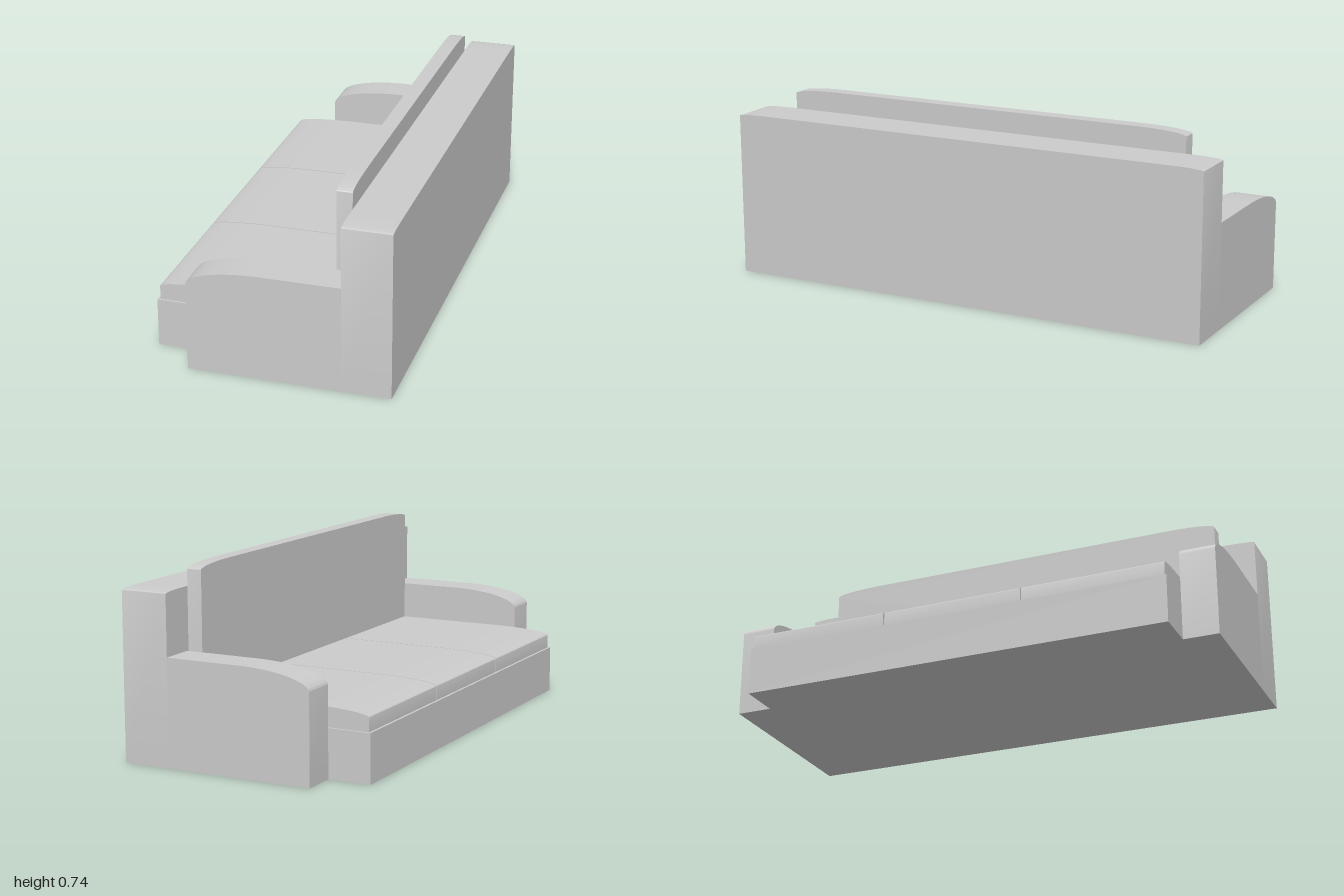
import * as THREE from 'three';
import { toCreasedNormals } from 'three/addons/utils/BufferGeometryUtils.js';

const material = new THREE.MeshStandardMaterial({ color: 0xcccccc });

function extrude(shape, depth) {
  const geometry = new THREE.ExtrudeGeometry(shape, { depth, bevelEnabled: false, curveSegments: 20 });
  return toCreasedNormals(geometry, 0.5);
}

// Profile in x/y, swept along z from z0 to z1
function sweepZ(name, shape, z0, z1) {
  const mesh = new THREE.Mesh(extrude(shape, z1 - z0).translate(0, 0, z0), material);
  mesh.name = name;
  return mesh;
}

// Profile in z/y, swept along x from x0 to x1
function sweepX(name, shape, x0, x1) {
  const mesh = new THREE.Mesh(extrude(shape, x1 - x0).rotateY(Math.PI / 2).translate(x0, 0, 0), material);
  mesh.name = name;
  return mesh;
}

// Block with its low-x top corner rounded, and optionally the other one too
function roundedProfile(x0, x1, bottom, top, rx, ry, bothEnds) {
  const shape = new THREE.Shape();
  shape.moveTo(x0, bottom);
  shape.lineTo(x0, top - ry);
  shape.absellipse(x0 + rx, top - ry, rx, ry, Math.PI, Math.PI / 2, true);
  if (bothEnds) {
    shape.lineTo(x1 - rx, top);
    shape.absellipse(x1 - rx, top - ry, rx, ry, Math.PI / 2, 0, true);
  } else {
    shape.lineTo(x1, top);
  }
  shape.lineTo(x1, bottom);
  shape.closePath();
  return shape;
}

export function createModel() {
  const sofa = new THREE.Group();
  sofa.name = 'sofa';

  // Seat base between the arms
  const base = new THREE.Mesh(new THREE.BoxGeometry(0.76, 0.19, 1.72), material);
  base.name = 'seatBase';
  base.position.set(-0.095, 0.095, 0);
  sofa.add(base);

  // Three seat cushions with rounded front edges and narrow seams
  const cushion = roundedProfile(-0.465, 0.225, 0.19, 0.268, 0.26, 0.024, false);
  for (let i = -1; i <= 1; i++) {
    sofa.add(sweepZ('seatCushion', cushion, i * 0.569 - 0.282, i * 0.569 + 0.282));
  }

  // Arms with a long curve down to the front
  const arm = roundedProfile(-0.305, 0.285, 0, 0.417, 0.29, 0.07, false);
  sofa.add(sweepZ('arm', arm, 0.86, 1), sweepZ('arm', arm, -1, -0.86));

  // Full-width backrest, slightly crowned at both ends
  sofa.add(sweepX('backrest', roundedProfile(-1, 1, 0, 0.66, 0.12, 0.008, true), 0.285, 0.475));

  // Taller back cushion
  sofa.add(sweepX('backCushion', roundedProfile(-0.853, 0.853, 0.19, 0.743, 0.2, 0.02, true), 0.225, 0.285));

  return sofa;
}
